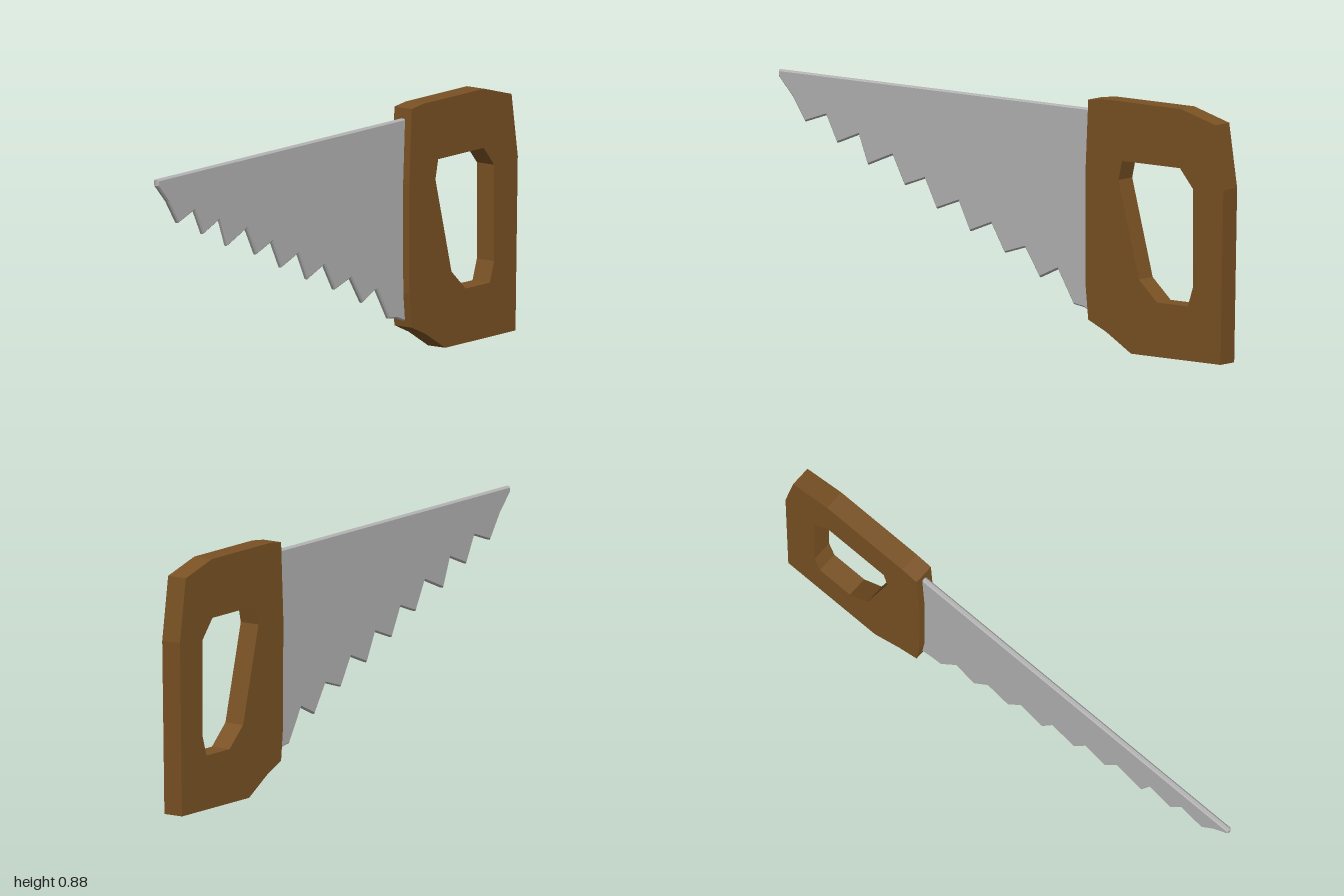
import * as THREE from 'three';

const toPoints = (list) => list.map(([z, y]) => new THREE.Vector2(z, y));

// Extrudes a (z, y) side outline across x, centred on x = 0
function sidePlate(name, outline, width, color, { hole, bevel = 0 } = {}) {
  const shape = new THREE.Shape(toPoints(outline));
  if (hole) shape.holes.push(new THREE.Path(toPoints(hole)));
  const depth = width - 2 * bevel;
  const geometry = new THREE.ExtrudeGeometry(shape, {
    depth,
    bevelEnabled: bevel > 0,
    bevelThickness: bevel,
    bevelSize: bevel,
    bevelOffset: -bevel,
    bevelSegments: 1,
  });
  geometry.translate(0, 0, -depth / 2);
  geometry.rotateY(-Math.PI / 2);
  const mesh = new THREE.Mesh(geometry, new THREE.MeshStandardMaterial({ color, flatShading: true }));
  mesh.name = name;
  return mesh;
}

export function createModel() {
  const saw = new THREE.Group();
  saw.name = 'handSaw';

  // Wooden handle with a grip opening
  const handleOutline = [
    [-0.4, 0.867], [-0.465, 0.875], [-0.81, 0.875], [-0.965, 0.833], [-1, 0.61], [-0.987, 0],
    [-0.59, 0], [-0.48, 0.065], [-0.4, 0.1], [-0.388, 0.22], [-0.387, 0.6],
  ];
  const gripOpening = [
    [-0.55, 0.668], [-0.807, 0.668], [-0.866, 0.6], [-0.866, 0.262],
    [-0.842, 0.19], [-0.705, 0.19], [-0.625, 0.262], [-0.534, 0.6],
  ];
  saw.add(sidePlate('handle', handleOutline, 0.075, 0x7a5224, { hole: gripOpening }));

  // Blade: straight back, blunt tip, then teeth as [point, gullet] pairs
  const teeth = [
    [[0.882, 0.66], [0.788, 0.692]],
    [[0.74, 0.6], [0.644, 0.638]],
    [[0.604, 0.537], [0.494, 0.582]],
    [[0.44, 0.482], [0.35, 0.514]],
    [[0.298, 0.414], [0.2, 0.45]],
    [[0.15, 0.35], [0.055, 0.387]],
    [[-0.004, 0.29], [-0.095, 0.318]],
    [[-0.16, 0.22], [-0.24, 0.257]],
  ];
  const bladeOutline = [
    [-0.42, 0.83], [1, 0.83], [1, 0.808], [0.94, 0.745],
    ...teeth.flat(),
    [-0.31, 0.142], [-0.357, 0.135], [-0.42, 0.112],
  ];
  saw.add(sidePlate('blade', bladeOutline, 0.02, 0xb4b4b4, { bevel: 0.005 }));

  return saw;
}
